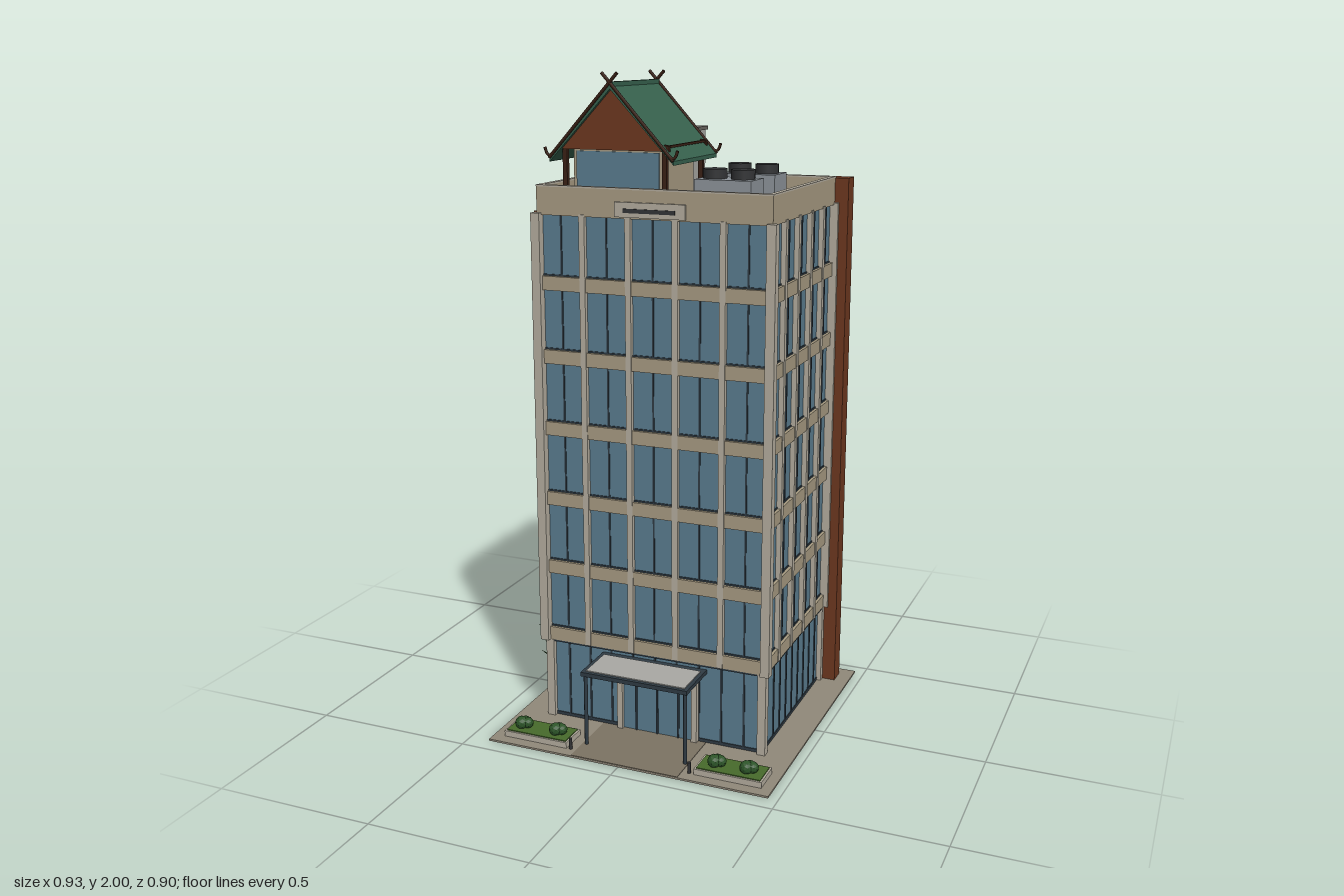
import * as THREE from 'three';

const mat = (color, flat = false) => new THREE.MeshStandardMaterial({ color, flatShading: flat, side: THREE.DoubleSide });
const M = {
  paving: mat(0x91897a), path: mat(0x7c7363), tan: mat(0xa89c83), stone: mat(0xb5aea0),
  glass: mat(0x5b7d90), frame: mat(0x2f3b44), rust: mat(0x6e3820), wood: mat(0x3a2115),
  roof: mat(0x37624e), deck: mat(0x9a958c), grey: mat(0xa9a8a4), darkGrey: mat(0x6b6761),
  unit: mat(0x8d949a), fan: mat(0x333436), grass: mat(0x476b2b), bush: mat(0x2c5428, true), leaf: mat(0x34552b),
};

export function createModel() {
  const model = new THREE.Group();
  const add = (parent, name, geo, material, x = 0, y = 0, z = 0) => {
    const m = new THREE.Mesh(geo, material);
    m.name = name;
    m.position.set(x, y, z);
    parent.add(m);
    return m;
  };
  // box given by its limits
  const box = (parent, name, material, x0, x1, y0, y1, z0, z1) =>
    add(parent, name, new THREE.BoxGeometry(x1 - x0, y1 - y0, z1 - z0), material, (x0 + x1) / 2, (y0 + y1) / 2, (z0 + z1) / 2);
  const group = (name, parent = model) => {
    const g = new THREE.Group();
    g.name = name;
    parent.add(g);
    return g;
  };
  // straight round bar between two points
  const bar = (parent, name, material, a, b, r) => {
    const p = new THREE.Vector3(...a), q = new THREE.Vector3(...b);
    const m = add(parent, name, new THREE.CylinderGeometry(r, r, p.distanceTo(q), 6), material);
    m.position.copy(p).add(q).multiplyScalar(0.5);
    m.quaternion.setFromUnitVectors(new THREE.Vector3(0, 1, 0), q.sub(p).normalize());
    return m;
  };

  // ground
  box(model, 'groundSlab', M.paving, -0.435, 0.47, 0, 0.006, -0.455, 0.45);
  box(model, 'entrancePath', M.path, -0.155, 0.19, 0.004, 0.008, 0.22, 0.449);

  // tower core and ground floor glazing
  const X0 = -0.345, X1 = 0.382, Z0 = -0.365, Z1 = 0.228, BASE = 0.265, PITCH = 0.2215;
  const tower = group('tower');
  box(tower, 'groundFloorGlass', M.glass, X0 + 0.015, X1 - 0.015, 0.006, BASE, Z0 + 0.015, Z1 - 0.015);
  box(tower, 'upperGlass', M.glass, X0 + 0.012, X1 - 0.012, BASE, 1.6, Z0 + 0.012, Z1 - 0.012);
  box(tower, 'plinth', M.frame, X0 + 0.012, X1 - 0.012, 0.006, 0.016, Z0 + 0.012, Z1 - 0.012);
  for (let i = 0; i < 6; i++) {
    const y = BASE + i * PITCH;
    box(tower, 'floorBand', M.tan, X0, X1, y, y + 0.042, Z0, Z1);
    box(tower, 'windowSill', M.frame, X0 + 0.009, X1 - 0.009, y + 0.042, y + 0.047, Z0 + 0.009, Z1 - 0.009);
  }
  box(tower, 'soffit', M.frame, X0 + 0.002, X1 - 0.002, BASE - 0.006, BASE, Z0 + 0.002, Z1 - 0.002);
  // columns and mullions on all four faces
  for (let i = 0; i <= 10; i++) {
    const x = X0 + (X1 - X0) * i / 10, z = Z0 + (Z1 - Z0) * i / 10;
    if (i === 0 || i === 10) continue;
    const column = i % 2 === 0;
    const name = column ? 'column' : 'mullion', material = column ? M.stone : M.frame;
    const w = column ? 0.009 : 0.0025, out = column ? 0.003 : -0.009;
    box(tower, name, material, x - w, x + w, BASE, 1.6, Z0 - out, Z1 + out);
    box(tower, name, material, X0 - out, X1 + out, BASE, 1.6, z - w, z + w);
    box(tower, 'groundMullion', M.frame, x - 0.003, x + 0.003, 0.006, BASE, Z0 + 0.012, Z1 - 0.012);
    box(tower, 'groundMullion', M.frame, X0 + 0.012, X1 - 0.012, 0.006, BASE, z - 0.003, z + 0.003);
  }
  // corner posts
  for (const x of [X0, X1]) for (const z of [Z0, Z1]) {
    const sx = Math.sign(x), sz = Math.sign(z);
    box(tower, 'cornerPost', M.stone, x - 0.014, x + 0.014, BASE, 1.6, z - 0.014, z + 0.014);
    const gx = x - sx * 0.012, gz = z - sz * 0.012;
    box(tower, 'cornerPier', M.stone, gx - 0.013, gx + 0.013, 0.006, BASE, gz - 0.013, gz + 0.013);
  }
  box(tower, 'pylon', M.rust, 0.325, 0.425, 0.006, 1.676, -0.418, -0.36);
  // vertical fins on the side wall
  const fins = group('sideFins', tower);
  for (let i = 0; i < 16; i++) {
    const z = -0.325 + i * 0.034;
    box(fins, 'fin', M.rust, -0.374, X0 + 0.002, BASE, 1.6, z - 0.004, z + 0.004);
  }

  // parapet and roof deck
  box(tower, 'roofDeck', M.deck, X0 + 0.005, X1 - 0.005, 1.594, 1.62, Z0 + 0.005, Z1 - 0.005);
  for (const [a, b, c, d] of [[X0, X1, Z1 - 0.014, Z1], [X0, X1, Z0, Z0 + 0.014], [X0, X0 + 0.014, Z0, Z1], [X1 - 0.014, X1, Z0, Z1]]) {
    box(tower, 'parapet', M.tan, a, b, 1.594, 1.676, c, d);
    box(tower, 'parapetCap', M.stone, a - 0.001, b + 0.001, 1.676, 1.681, c - 0.001, d + 0.001);
  }
  box(tower, 'parapetPanel', M.stone, -0.092, 0.125, 1.599, 1.642, Z1, Z1 + 0.008);
  box(tower, 'panelSlot', M.fan, -0.065, 0.095, 1.612, 1.624, Z1, Z1 + 0.011);

  // entrance doors and canopy
  const entrance = group('entrance');
  box(entrance, 'doorGlass', M.glass, -0.1, 0.16, 0.008, 0.235, 0.2, 0.222);
  for (const x of [-0.092, 0.155]) box(entrance, 'doorJamb', M.stone, x - 0.009, x + 0.009, 0.008, 0.24, 0.2, 0.234);
  box(entrance, 'doorHead', M.stone, -0.1, 0.164, 0.225, 0.24, 0.2, 0.232);
  for (const x of [-0.04, 0.03, 0.1]) box(entrance, 'doorFrame', M.frame, x - 0.003, x + 0.003, 0.008, 0.225, 0.21, 0.226);
  box(entrance, 'canopyFrame', M.frame, -0.155, 0.19, 0.233, 0.246, 0.215, 0.376);
  box(entrance, 'canopyTop', M.grey, -0.142, 0.178, 0.24, 0.249, 0.237, 0.364);
  for (const x of [-0.143, 0.181]) add(entrance, 'canopyPost', new THREE.CylinderGeometry(0.006, 0.006, 0.23, 10), M.frame, x, 0.12, 0.365);
  for (const x of [-0.175, 0.212]) add(entrance, 'bollard', new THREE.CylinderGeometry(0.005, 0.005, 0.035, 10), M.fan, x, 0.023, 0.41);

  // planters with shrubs
  for (const [x0, x1, shrubs] of [[-0.4, -0.188, [-0.355, -0.238]], [0.227, 0.437, [0.283, 0.383]]]) {
    const planter = group('planter');
    box(planter, 'planterBox', M.stone, x0, x1, 0.005, 0.024, 0.318, 0.414);
    box(planter, 'grass', M.grass, x0 + 0.006, x1 - 0.006, 0.02, 0.027, 0.324, 0.408);
    for (const x of shrubs) for (const [dx, dz, r] of [[-0.006, 0.004, 0.021], [0.011, -0.003, 0.018], [0, -0.009, 0.017]])
      add(planter, 'shrub', new THREE.IcosahedronGeometry(r, 1), M.bush, x + dx, 0.04, 0.37 + dz);
  }

  // bamboo clumps
  const leafGeo = new THREE.ConeGeometry(0.007, 0.045, 4);
  leafGeo.scale(1, 1, 0.25);
  for (const cz of [-0.055, 0.045]) {
    const bamboo = group('bamboo');
    for (let i = 0; i < 5; i++) {
      const a = i * 2.4, x = -0.408 + 0.012 * Math.cos(a), z = cz + 0.014 * Math.sin(a);
      const h = 0.2 + 0.028 * ((i * 2) % 5), tx = x + 0.018 * Math.cos(a), tz = z + 0.022 * Math.sin(a);
      bar(bamboo, 'stalk', M.leaf, [x, 0.005, z], [tx, h, tz], 0.0028);
      for (let k = 0; k < 5; k++) {
        const t = 0.5 + k * 0.12, b = a + k * 2.1;
        const leaf = add(bamboo, 'leaf', leafGeo, M.leaf, x + (tx - x) * t + 0.012 * Math.cos(b), h * t + 0.008, z + (tz - z) * t + 0.015 * Math.sin(b));
        leaf.quaternion.setFromUnitVectors(new THREE.Vector3(0, 1, 0), new THREE.Vector3(Math.cos(b) * 0.7, 0.7, Math.sin(b)).normalize());
      }
    }
  }

  // rooftop stair house and cooling units
  const rooftop = group('rooftop');
  box(rooftop, 'stairHouse', M.grey, -0.268, -0.037, 1.62, 1.815, -0.33, -0.17);
  box(rooftop, 'stairHouseCap', M.darkGrey, -0.274, -0.031, 1.815, 1.826, -0.336, -0.164);
  for (const z of [-0.15, 0.057]) {
    const unit = group('coolingUnit', rooftop);
    box(unit, 'unitBox', M.unit, 0.103, 0.275, 1.62, 1.702, z - 0.055, z + 0.055);
    for (const x of [0.146, 0.232]) add(unit, 'fan', new THREE.CylinderGeometry(0.035, 0.035, 0.028, 16), M.fan, x, 1.716, z);
  }

  // rooftop pavilion with a steep gabled roof
  const pavilion = group('pavilion');
  const RX = -0.121, RY = 1.968, EX = 0.195, EY = 1.757, ZB = -0.14, ZF = 0.195;
  box(pavilion, 'room', M.tan, -0.262, 0.02, 1.62, 1.79, -0.09, 0.145);
  box(pavilion, 'frontWindow', M.glass, -0.252, 0.01, 1.63, 1.775, 0.14, 0.149);
  for (const x of [-0.278, 0.036]) for (const z of [-0.11, 0.165])
    box(pavilion, 'post', M.wood, x - 0.007, x + 0.007, 1.62, 1.8, z - 0.007, z + 0.007);
  const gable = new THREE.Shape([[-0.168, 1.782], [0.168, 1.782], [0, 1.958]].map(([x, y]) => new THREE.Vector2(RX + x, y)));
  for (const z of [ZB + 0.012, ZF - 0.022])
    add(pavilion, 'gableWall', new THREE.ExtrudeGeometry(gable, { depth: 0.01, bevelEnabled: false }), M.rust, 0, 0, z);
  for (const s of [-1, 1]) {
    // roof slope
    const pts = [[0, RY], [s * EX, EY], [s * EX, EY - 0.012], [0, RY - 0.015]];
    const slope = new THREE.Shape(pts.map(([x, y]) => new THREE.Vector2(RX + x, y)));
    add(pavilion, 'roofSlope', new THREE.ExtrudeGeometry(slope, { depth: ZF - ZB, bevelEnabled: false }), M.roof, 0, 0, ZB);
    // rail near the eave
    const rx = RX + s * 0.168, ry = RY - 0.168 * (RY - EY) / EX + 0.006;
    box(pavilion, 'eaveRail', M.wood, rx - 0.003, rx + 0.003, ry - 0.001, ry + 0.006, -0.12, 0.175);
    for (const z of [-0.115, 0.17]) box(pavilion, 'railFoot', M.wood, rx - 0.005, rx + 0.005, ry - 0.015, ry + 0.006, z - 0.005, z + 0.005);
    // bargeboards crossing at the top and curling up at the eaves
    for (const z of [ZB, ZF + 0.002]) {
      bar(pavilion, 'bargeboard', M.wood, [RX + s * EX, EY, z], [RX - s * 0.024, RY + 0.03, z], 0.005);
      const curl = new THREE.QuadraticBezierCurve3(
        new THREE.Vector3(RX + s * (EX - 0.01), EY + 0.012, z), new THREE.Vector3(RX + s * (EX + 0.005), EY - 0.004, z), new THREE.Vector3(RX + s * (EX + 0.013), EY + 0.03, z));
      add(pavilion, 'eaveCurl', new THREE.TubeGeometry(curl, 8, 0.0045, 6), M.wood);
    }
  }
  box(pavilion, 'ridgeCap', M.roof, RX - 0.009, RX + 0.009, RY - 0.008, RY + 0.005, ZB, ZF);
  return model;
}
